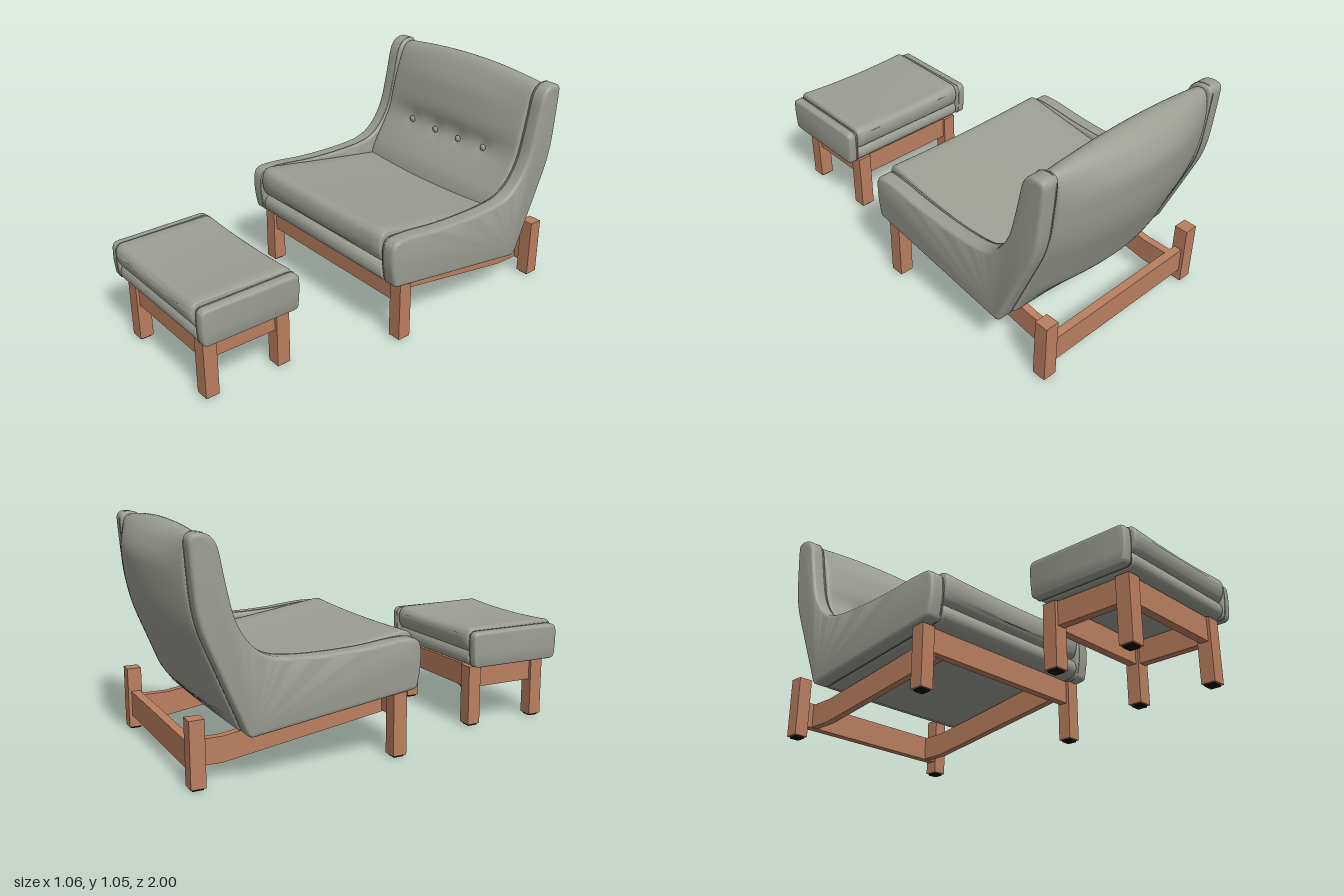
import * as THREE from 'three';
import { toCreasedNormals } from 'three/addons/utils/BufferGeometryUtils.js';

const mat = (name, color) => {
  const m = new THREE.MeshStandardMaterial({ color });
  m.name = name;
  return m;
};
const { smoothstep } = THREE.MathUtils;

// Closed outline from [z, y, cornerRadius] points; large radii blend into a smooth curve
function outline(points) {
  const shape = new THREE.Shape();
  const n = points.length;
  points.forEach(([z, y, r], i) => {
    const p = new THREE.Vector2(z, y);
    const toward = ([a, b]) => {
      const d = new THREE.Vector2(a, b).sub(p);
      return d.setLength(Math.min(r, d.length() / 2)).add(p);
    };
    const a = toward(points[(i + n - 1) % n]);
    const b = toward(points[(i + 1) % n]);
    if (i === 0) shape.moveTo(a.x, a.y);
    else shape.lineTo(a.x, a.y);
    shape.quadraticCurveTo(p.x, p.y, b.x, b.y);
  });
  shape.closePath();
  return shape;
}

// Upholstered pad: side outline spread across x, soft edges, optional bending rule
function padGeometry(shape, width, bevel, bend, steps = 1) {
  const geo = new THREE.ExtrudeGeometry(shape, {
    depth: width - 2 * bevel, steps, curveSegments: 8,
    bevelEnabled: true, bevelThickness: bevel, bevelSize: bevel, bevelOffset: -bevel, bevelSegments: 4,
  });
  geo.translate(0, 0, bevel - width / 2);
  geo.rotateY(-Math.PI / 2);
  if (bend) {
    const pos = geo.attributes.position;
    const v = new THREE.Vector3();
    for (let i = 0; i < pos.count; i++) {
      bend(v.fromBufferAttribute(pos, i));
      pos.setXYZ(i, v.x, v.y, v.z);
    }
  }
  return toCreasedNormals(geo, 0.7);
}

// Thin seam cord following an outline at a given x
function pipingGeometry(shape, x) {
  const pts = shape.getSpacedPoints(90).slice(0, -1).map((p) => new THREE.Vector3(x, p.y, p.x));
  return new THREE.TubeGeometry(new THREE.CatmullRomCurve3(pts, true), 140, 0.0025, 6, true);
}

export function createModel() {
  const fabric = mat('grey upholstery', 0x9c9e94);
  const wood = mat('warm wood', 0xbb7f60);
  const black = mat('black foot pad', 0x080808);

  const model = new THREE.Group();
  const chair = new THREE.Group();
  chair.name = 'armchair';
  const stool = new THREE.Group();
  stool.name = 'footstool';
  model.add(chair, stool);

  const add = (parent, name, geo, material, x = 0, y = 0, z = 0) => {
    const m = new THREE.Mesh(geo, material);
    m.name = name;
    m.position.set(x, y, z);
    parent.add(m);
    return m;
  };
  // Box given by its limits
  const box = (parent, name, material, x0, x1, y0, y1, z0, z1) =>
    add(parent, name, new THREE.BoxGeometry(x1 - x0, y1 - y0, z1 - z0), material,
      (x0 + x1) / 2, (y0 + y1) / 2, (z0 + z1) / 2);
  // Square leg with a black pad, centred on x
  const leg = (parent, name, x, z0) => {
    box(parent, name, wood, x - 0.0335, x + 0.0335, 0.009, 0.295, z0, z0 + 0.065);
    box(parent, name + 'Foot', black, x - 0.0235, x + 0.0235, 0, 0.009, z0 + 0.009, z0 + 0.056);
  };
  // Side pad with one seam towards the seat
  const sidePanel = (parent, side, name, shape, width, bevel, x) => {
    add(parent, name, padGeometry(shape, width, bevel), fabric, side * x);
    add(parent, name + 'Piping', pipingGeometry(shape, side * (bevel - width / 2)), fabric, side * x);
  };

  // ---- Armchair: swept side panels
  const panel = outline([
    [0.09, 0.305, 0.02], [0.112, 0.42, 0.1], [0.103, 0.53, 0.05], [-0.02, 0.53, 0.1],
    [-0.2, 0.508, 0.2], [-0.48, 0.505, 0.2], [-0.63, 0.53, 0.2], [-0.73, 0.65, 0.2],
    [-0.77, 0.82, 0.2], [-0.807, 1.022, 0.08], [-0.918, 1.037, 0.06], [-0.915, 0.95, 0.1],
    [-0.892, 0.68, 0.1], [-0.69, 0.198, 0.025],
  ]);
  for (const s of [-1, 1]) sidePanel(chair, s, s > 0 ? 'leftSidePanel' : 'rightSidePanel', panel, 0.084, 0.017, 0.488);

  // Curved, tufted backrest
  const buttons = [[-0.25, 0.667], [-0.08, 0.66], [0.08, 0.66], [0.25, 0.667]];
  const backOutline = outline([
    [-0.6, 0.26, 0.02], [-0.6, 0.45, 0.1], [-0.685, 0.59, 0.1], [-0.735, 0.68, 0.1], [-0.752, 0.78, 0.1],
    [-0.785, 0.92, 0.1], [-0.83, 1.045, 0.1], [-0.905, 1.05, 0.1], [-0.917, 0.9, 0.1],
    [-0.89, 0.68, 0.1], [-0.79, 0.43, 0.1], [-0.7, 0.202, 0.02],
  ]);
  const bendBack = (v) => {
    const { x, y } = v;
    const u = (x / 0.447) ** 2;
    const frontZ = -0.61 - 0.42 * (y - 0.45);
    const rear = smoothstep((frontZ - v.z) / 0.12, 0, 1);
    const crease = Math.exp(-(((y - 0.663) / 0.07) ** 2));
    v.z += 0.022 * (1 - u) * (1 - rear) * (1 - 0.65 * crease) * (1 - smoothstep(y, 0.9, 1.04));
    if (rear < 0.4 && y > 0.5 && y < 0.9) {
      for (const [bx, by] of buttons) {
        v.z -= 0.009 * Math.exp(-((x - bx) ** 2 + (y - by) ** 2) / 0.0012);
      }
    }
    v.z -= 0.086 * (1 - u) * rear * smoothstep(y, 0.18, 0.38);
    v.y -= 0.028 * u * smoothstep(y, 0.7, 1.04);
  };
  add(chair, 'backrest', padGeometry(backOutline, 0.9, 0.015, bendBack, 44), fabric);
  for (const [x, y] of buttons) {
    add(chair, 'backButton', new THREE.SphereGeometry(0.017, 16, 10), fabric, x, y, -0.722).scale.z = 0.6;
  }

  // Seat base and loose cushion
  const base = outline([
    [0.085, 0.303, 0.03], [0.112, 0.345, 0.05], [0.09, 0.395, 0.03], [-0.66, 0.31, 0.02], [-0.69, 0.204, 0.02],
  ]);
  add(chair, 'seatBase', padGeometry(base, 0.895, 0.015), fabric);
  const cushion = outline([
    [0.095, 0.4, 0.025], [0.122, 0.47, 0.08], [0.1, 0.555, 0.05], [-0.1, 0.523, 0.1],
    [-0.35, 0.485, 0.1], [-0.63, 0.445, 0.03], [-0.63, 0.31, 0.02],
  ]);
  const sag = (half, depth, from) => (v) => {
    if (v.y > from) v.y -= depth * (1 - (v.x / half) ** 2);
  };
  add(chair, 'seatCushion', padGeometry(cushion, 0.89, 0.015, sag(0.445, 0.01, 0.43), 16), fabric);

  // Wooden frame
  for (const s of [-1, 1]) {
    leg(chair, 'frontLeg', s * 0.479, -0.02);
    leg(chair, 'backLeg', s * 0.45, -0.925);
    const rail = new THREE.Shape([
      [0.0, 0.295], [0.0, 0.18], [-0.75, 0.067], [-0.87, 0.067], [-0.87, 0.18], [-0.75, 0.18],
    ].map(([z, y]) => new THREE.Vector2(z, y)));
    const geo = new THREE.ExtrudeGeometry(rail, { depth: 0.036, bevelEnabled: false });
    geo.translate(0, 0, -0.018);
    geo.rotateY(-Math.PI / 2);
    add(chair, 'sideRail', geo, wood, s * 0.368);
  }
  box(chair, 'frontRail', wood, -0.446, 0.446, 0.185, 0.295, -0.01, 0.03);
  box(chair, 'backRail', wood, -0.418, 0.418, 0.065, 0.184, -0.91, -0.87);

  // ---- Footstool: padded sides, base and cushion
  stool.position.x = 0.019;
  const stoolPanel = outline([
    [0.978, 0.302, 0.025], [0.988, 0.39, 0.05], [0.983, 0.472, 0.03],
    [0.505, 0.472, 0.03], [0.503, 0.39, 0.05], [0.512, 0.302, 0.025],
  ]);
  for (const s of [-1, 1]) sidePanel(stool, s, s > 0 ? 'stoolLeftPanel' : 'stoolRightPanel', stoolPanel, 0.055, 0.014, 0.3475);
  const stoolBase = outline([
    [0.965, 0.298, 0.03], [0.99, 0.337, 0.05], [0.965, 0.385, 0.03],
    [0.525, 0.385, 0.03], [0.502, 0.337, 0.05], [0.525, 0.298, 0.03],
  ]);
  add(stool, 'stoolBase', padGeometry(stoolBase, 0.64, 0.012), fabric);
  const stoolCushion = outline([
    [0.975, 0.366, 0.03], [1.006, 0.43, 0.05], [0.985, 0.488, 0.03],
    [0.515, 0.483, 0.03], [0.496, 0.43, 0.05], [0.515, 0.366, 0.03],
  ]);
  add(stool, 'stoolCushion', padGeometry(stoolCushion, 0.636, 0.015, sag(0.318, 0.012, 0.45), 16), fabric);
  for (const s of [-1, 1]) {
    for (const z of [0.887, 0.522]) leg(stool, 'stoolLeg', s * 0.279, z);
    box(stool, 'stoolSideRail', wood, s * 0.277 - 0.02, s * 0.277 + 0.02, 0.188, 0.295, 0.585, 0.889);
  }
  for (const z of [0.899, 0.534]) box(stool, 'stoolCrossRail', wood, -0.248, 0.248, 0.186, 0.295, z, z + 0.04);

  return model;
}
